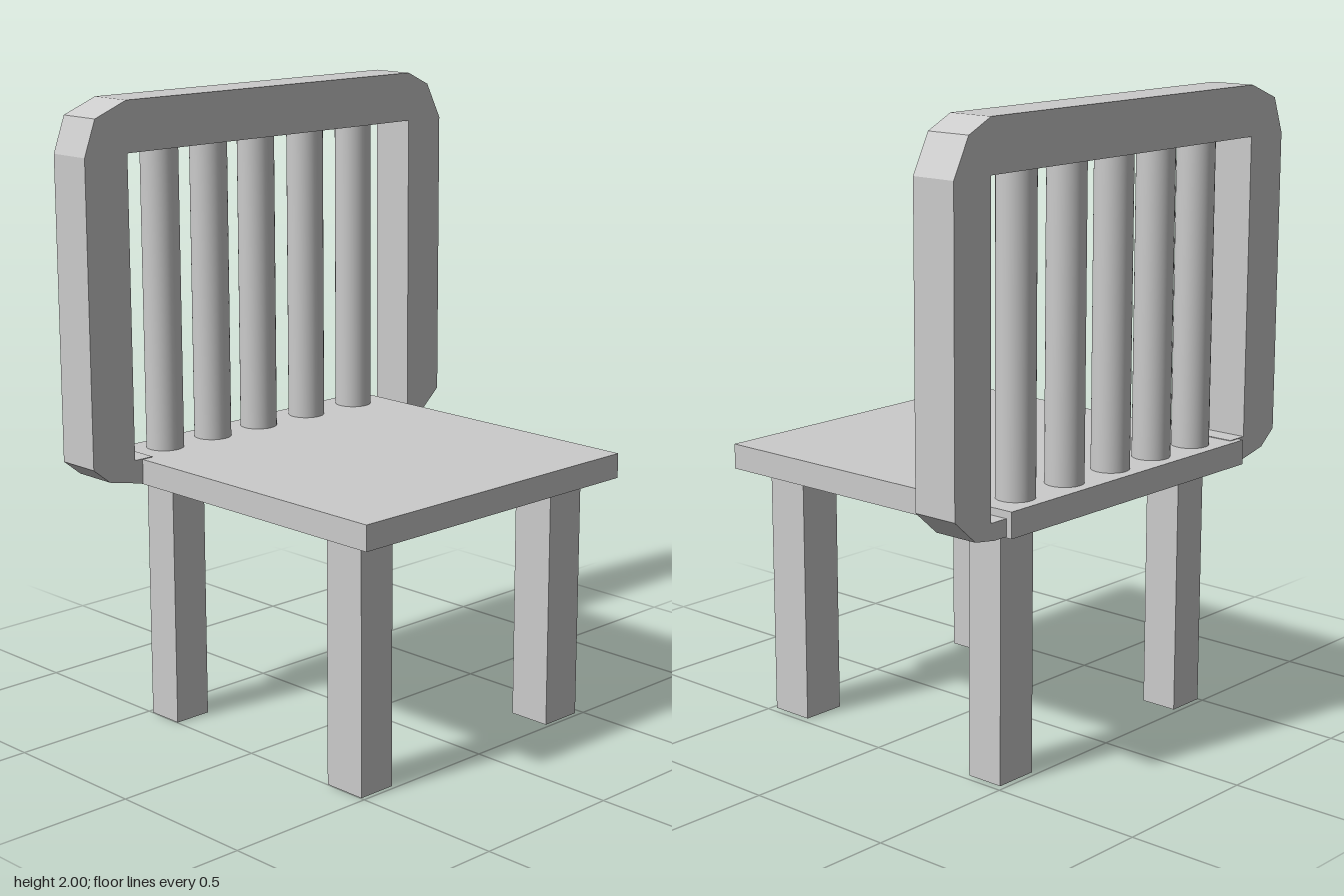
import * as THREE from 'three';

export function createModel() {
  const chair = new THREE.Group();
  const material = new THREE.MeshStandardMaterial({ color: 0xcccccc });

  const add = (name, geometry, x = 0, y = 0, z = 0) => {
    const mesh = new THREE.Mesh(geometry, material);
    mesh.name = name;
    mesh.position.set(x, y, z);
    chair.add(mesh);
    return mesh;
  };

  // Box given by its limits on each axis
  const addBox = (name, [x0, x1], [y0, y1], [z0, z1]) =>
    add(name, new THREE.BoxGeometry(x1 - x0, y1 - y0, z1 - z0),
      (x0 + x1) / 2, (y0 + y1) / 2, (z0 + z1) / 2);

  // Seat
  addBox('seat', [-0.585, 0.58], [0.8, 0.88], [-0.545, 0.57]);

  // Four square legs
  const legX = { Right: [-0.482, -0.358], Left: [0.342, 0.486] };
  const legZ = { front: [0.37, 0.498], back: [-0.476, -0.332] };
  for (const [end, z] of Object.entries(legZ)) {
    for (const [side, x] of Object.entries(legX)) addBox(`${end}${side}Leg`, x, [0, 0.8], z);
  }

  // Backrest frame: bevelled outline in (z, y), with ends tucked into the seat
  const outline = [
    [0.53, 0.803], [0.53, 0.882], [0.6, 0.882], [0.6, 1.84], [-0.61, 1.84], [-0.61, 0.857],
    [-0.53, 0.857], [-0.53, 0.803], [-0.595, 0.803], [-0.675, 0.815], [-0.76, 0.89],
    [-0.76, 1.84], [-0.7, 1.957], [-0.61, 2], [0.6, 2], [0.72, 1.953],
    [0.762, 1.84], [0.762, 0.88], [0.7, 0.83], [0.575, 0.803],
  ];
  const shape = new THREE.Shape(outline.map(([z, y]) => new THREE.Vector2(z, y)));
  const frame = new THREE.ExtrudeGeometry(shape, { depth: 0.15, bevelEnabled: false });
  frame.rotateY(-Math.PI / 2);
  add('backrestFrame', frame, -0.415);

  // Round spindles between seat and top rail
  const spindle = new THREE.CylinderGeometry(0.06, 0.06, 0.98, 32);
  for (const z of [0.416, 0.216, 0.016, -0.2, -0.42]) {
    add('backrestSpindle', spindle, -0.49, 1.36, z);
  }

  return chair;
}
